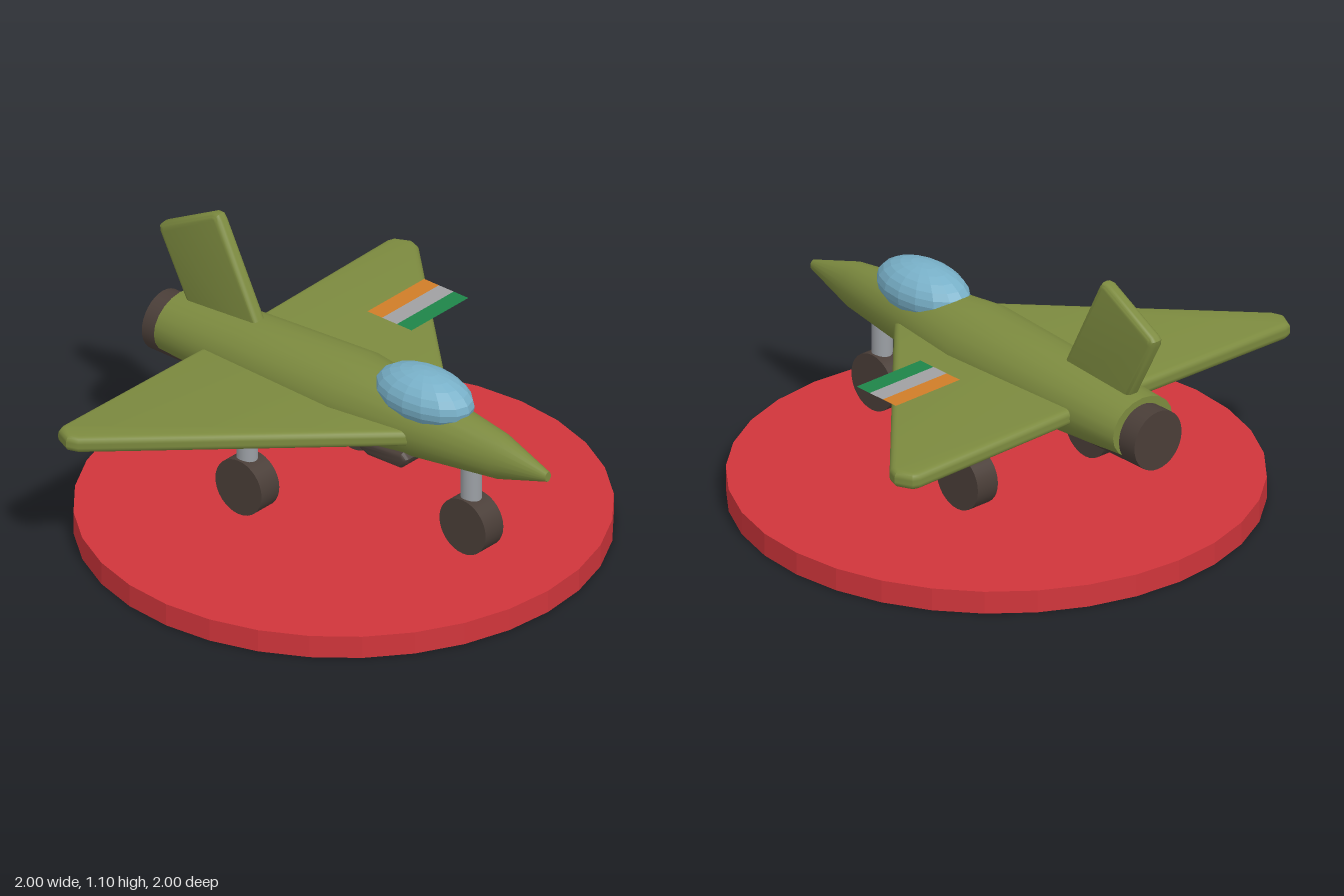
import * as THREE from 'three';
import { toCreasedNormals } from 'three/addons/utils/BufferGeometryUtils.js';

const paint = (name, color, side = THREE.FrontSide) => {
  const m = new THREE.MeshStandardMaterial({ color, side });
  m.name = name;
  return m;
};

export function createModel() {
  const olive = paint('olive', 0x7c8a3f);
  const red = paint('red', 0xd0353b);
  const dark = paint('darkBrown', 0x4a3e38);
  const glass = paint('skyBlue', 0x78b0c8);
  const metal = paint('grey', 0x9b9fa4);
  const orange = paint('orange', 0xd07d28, THREE.DoubleSide);
  const white = paint('paleGrey', 0xa0a0a2, THREE.DoubleSide);
  const green = paint('green', 0x1e8449, THREE.DoubleSide);

  const model = new THREE.Group();
  model.name = 'jetOnStand';
  const add = (name, geometry, material, x = 0, y = 0, z = 0) => {
    const mesh = new THREE.Mesh(geometry, material);
    mesh.name = name;
    mesh.position.set(x, y, z);
    model.add(mesh);
    return mesh;
  };

  // Round stand
  add('stand', toCreasedNormals(new THREE.CylinderGeometry(1, 1, 0.09, 32), 0.1), red, 0, 0.045, 0);

  // Fuselage: elliptical sections from nose to tail [z, rx, ry, centreY]
  const sections = [
    [1.0, 0.016, 0.02, 0.575],
    [0.77, 0.072, 0.092, 0.577],
    [0.45, 0.126, 0.128, 0.58],
    [0.075, 0.18, 0.164, 0.577],
    [-0.43, 0.162, 0.143, 0.57],
    [-0.8, 0.148, 0.118, 0.568],
  ];
  const n = 20;
  const position = [], index = [];
  sections.forEach(([z, rx, ry, cy], i) => {
    for (let j = 0; j < n; j++) {
      const t = (j / n) * Math.PI * 2;
      position.push(rx * Math.cos(t), cy + ry * Math.sin(t), z);
      if (i === sections.length - 1) continue;
      const a = i * n + j, b = i * n + ((j + 1) % n);
      index.push(a, a + n, b, b, a + n, b + n);
    }
  });
  const hull = new THREE.BufferGeometry();
  hull.setAttribute('position', new THREE.Float32BufferAttribute(position, 3));
  hull.setIndex(index);
  hull.computeVertexNormals();
  add('fuselage', hull, olive);

  // End caps of the fuselage
  for (const [name, s, turn] of [['noseCap', sections[0], 0], ['tailCap', sections[5], Math.PI]]) {
    const cap = new THREE.CircleGeometry(1, n).scale(s[1], s[2], 1).rotateY(turn);
    add(name, cap, olive, 0, s[3], s[0]);
  }

  // Flat slab with rounded rim, centred on its thickness
  const slab = (points, thickness, rim) => {
    const g = new THREE.ExtrudeGeometry(new THREE.Shape(points.map(([x, y]) => new THREE.Vector2(x, y))), {
      depth: thickness - 2 * rim, bevelThickness: rim, bevelSize: rim, bevelOffset: -rim, bevelSegments: 4,
    });
    g.translate(0, 0, rim - thickness / 2);
    return toCreasedNormals(g, 0.6);
  };

  // Delta wings, outline in x and z
  for (const [side, s] of [['left', 1], ['right', -1]]) {
    const outline = [[0.06, 0.45], [0.1, 0.45], [0.96, -0.465], [0.976, -0.51], [0.945, -0.575],
      [0.915, -0.586], [0.06, -0.57]].map(([x, z]) => [s * x, z]);
    add(side + 'Wing', slab(outline, 0.066, 0.025).rotateX(Math.PI / 2), olive, 0, 0.568, 0);
  }

  // Tail fin, outline in z and y
  const fin = [[-0.36, 0.62], [-0.585, 1.075], [-0.6, 1.095], [-0.625, 1.095], [-0.87, 0.965],
    [-0.884, 0.95], [-0.88, 0.925], [-0.72, 0.62]];
  add('tailFin', slab(fin, 0.06, 0.022).rotateY(-Math.PI / 2), olive);

  // Engine nozzle and belly intake
  add('nozzle', new THREE.CylinderGeometry(0.118, 0.118, 0.425, 32).rotateX(Math.PI / 2), dark, 0, 0.542, -0.672);
  const intake = [[0.4, 0.45], [0.405, 0.468], [0.38, 0.49], [0.17, 0.47], [0.17, 0.435], [0.21, 0.416], [0.37, 0.42]];
  add('bellyIntake', slab(intake, 0.23, 0.02).rotateY(-Math.PI / 2), dark);

  // Faceted canopy
  const canopy = new THREE.SphereGeometry(1, 16, 12).scale(0.13, 0.105, 0.218).toNonIndexed();
  canopy.computeVertexNormals();
  add('canopy', canopy, glass, 0, 0.7, 0.397);

  // Landing gear: one nose wheel, two main wheels
  for (const [name, x, z] of [['nose', 0, 0.625], ['leftMain', 0.321, -0.192], ['rightMain', -0.321, -0.192]]) {
    add(name + 'Wheel', new THREE.CylinderGeometry(0.113, 0.113, 0.1, 32).rotateZ(Math.PI / 2), dark, x, 0.243, z);
    add(name + 'Strut', new THREE.CylinderGeometry(0.04, 0.04, 0.2, 20), metal, x, 0.385, z);
  }

  // Three-striped flag above the left wing
  [['flagOrange', orange], ['flagPale', white], ['flagGreen', green]].forEach(([name, material], i) => {
    add(name, new THREE.PlaneGeometry(0.32, 0.072).rotateX(-Math.PI / 2), material, 0.53, 0.667, -0.169 + i * 0.072);
  });

  return model;
}
